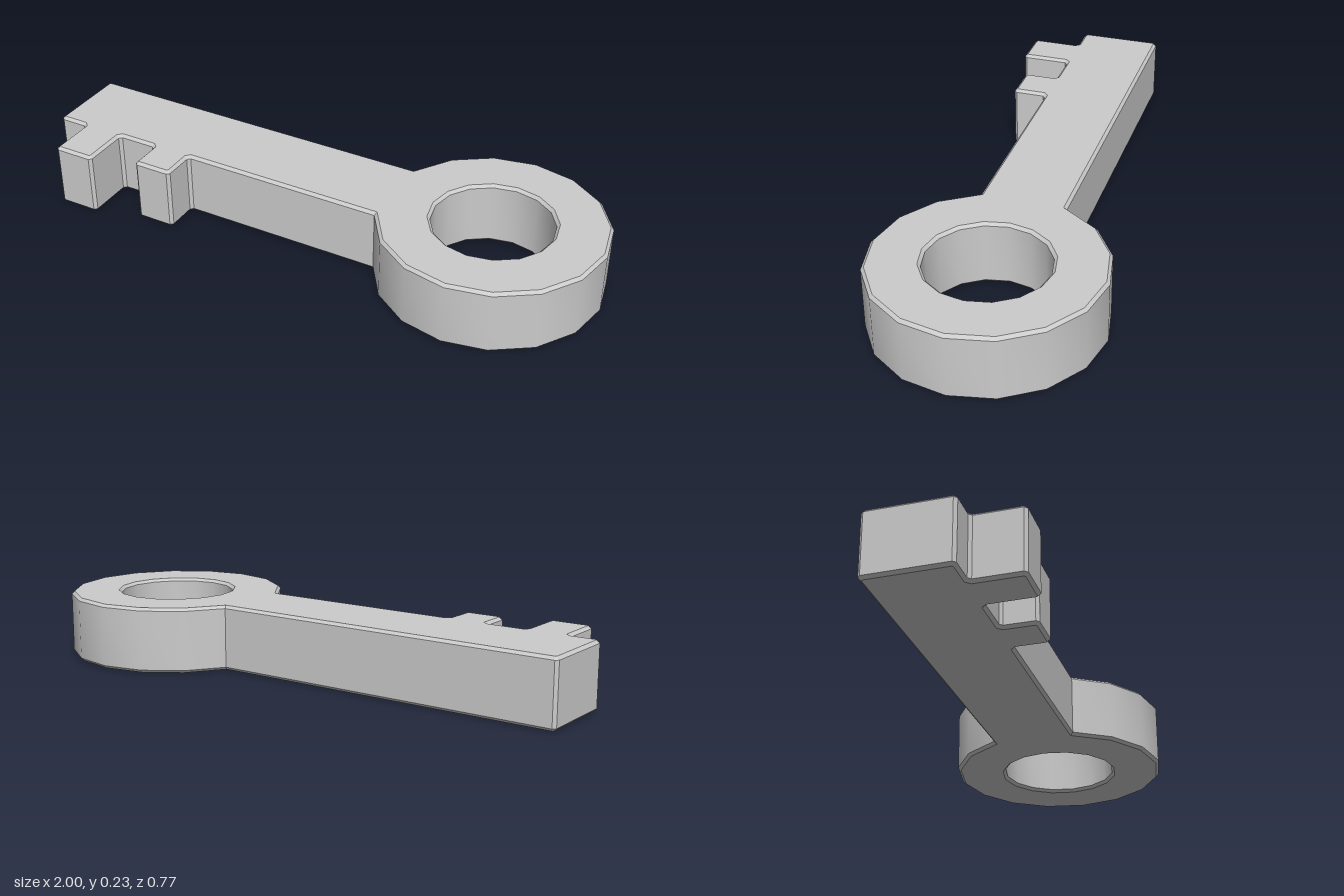
import * as THREE from 'three';
import { toCreasedNormals } from 'three/addons/utils/BufferGeometryUtils.js';

const HEIGHT = 0.228, BEVEL = 0.01;
const CENTRE = 0.617, OUTER = 0.383, INNER = 0.203, SIDES = 16;
const HALF = OUTER * Math.sin(Math.PI / 8); // shaft half width, meets the ring at its corners

const ringPoint = (k, r) => {
  const a = (k / SIDES) * Math.PI * 2;
  return new THREE.Vector2(CENTRE + r * Math.cos(a), r * Math.sin(a));
};

// Replaces each corner of an outline with a small diagonal cut
function chamfer(points, size) {
  const out = [];
  points.forEach((p, i) => {
    const before = points[(i + points.length - 1) % points.length];
    const after = points[(i + 1) % points.length];
    for (const q of [before, after]) {
      out.push(p.clone().add(q.clone().sub(p).setLength(size)));
    }
  });
  return out;
}

export function createModel() {
  const group = new THREE.Group();
  group.name = 'key';

  // Bow: ring outline, open where the shaft joins
  const outline = [];
  for (let k = -7; k <= 7; k++) outline.push(ringPoint(k, OUTER));

  // Shaft with two teeth along its front edge
  const blade = [];
  const teeth = [[-0.455, -0.595, 0.268], [-0.742, -0.89, 0.32]];
  for (const [x1, x2, z] of teeth) {
    blade.push([x1, HALF], [x1, z], [x2, z], [x2, HALF]);
  }
  blade.push([-1, HALF], [-1, -HALF]);
  const first = outline[0], last = outline[outline.length - 1];
  const bladePoints = blade.map(([x, z]) => new THREE.Vector2(x, z));
  // chamfer only the blade corners, keeping the joints with the bow
  outline.push(...chamfer([last, ...bladePoints, first], BEVEL).slice(2, -2));

  const shape = new THREE.Shape(outline);
  const hole = [];
  for (let k = 0; k < SIDES; k++) hole.push(ringPoint(-k, INNER));
  shape.holes.push(new THREE.Path(hole));

  const geometry = new THREE.ExtrudeGeometry(shape, {
    depth: HEIGHT - 2 * BEVEL,
    bevelThickness: BEVEL,
    bevelSize: BEVEL,
    bevelOffset: -BEVEL,
    bevelSegments: 1,
    curveSegments: 1,
  });
  geometry.rotateX(Math.PI / 2);
  geometry.translate(0, HEIGHT - BEVEL, 0);

  const body = new THREE.Mesh(
    toCreasedNormals(geometry, 0.5),
    new THREE.MeshStandardMaterial({ color: 0xcccccc })
  );
  body.name = 'keyBody';
  group.add(body);
  return group;
}
